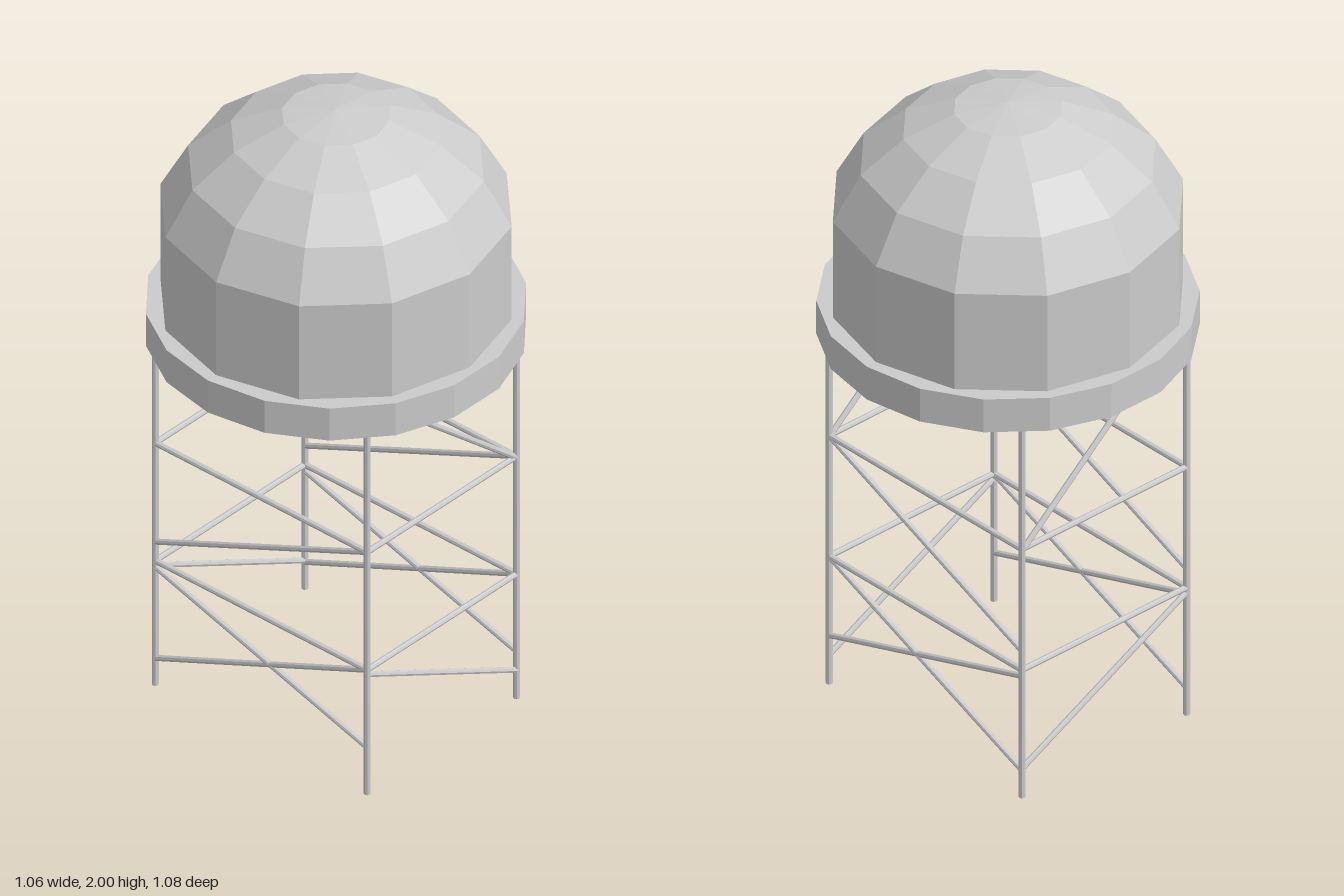
import * as THREE from 'three';

const material = new THREE.MeshStandardMaterial({ color: 0xcccccc, flatShading: true });
const LEG_X = 0.4, LEG_Z = 0.315, DECK_Y = 1.24, DECK_TOP = 1.35;

function lathe(name, profile, sides) {
  const points = profile.map(([r, y]) => new THREE.Vector2(r, y));
  const mesh = new THREE.Mesh(new THREE.LatheGeometry(points, sides), material);
  mesh.name = name;
  return mesh;
}

// Thin round bar between two points
function bar(name, from, to, radius) {
  const a = new THREE.Vector3(...from), b = new THREE.Vector3(...to);
  const dir = b.clone().sub(a);
  const mesh = new THREE.Mesh(new THREE.CylinderGeometry(radius, radius, dir.length(), 8), material);
  mesh.position.copy(a).add(b).multiplyScalar(0.5);
  mesh.quaternion.setFromUnitVectors(new THREE.Vector3(0, 1, 0), dir.normalize());
  mesh.name = name;
  return mesh;
}

export function createModel() {
  const model = new THREE.Group();
  model.name = 'waterTower';

  // Faceted tank: straight wall, domed roof
  model.add(lathe('tank', [
    [0, DECK_TOP], [0.505, DECK_TOP], [0.505, 1.67], [0.425, 1.815],
    [0.302, 1.918], [0.155, 1.982], [0, 2],
  ], 12));

  // Round deck with a hole in the middle
  model.add(lathe('deck', [
    [0.163, DECK_Y], [0.54, DECK_Y], [0.54, DECK_TOP], [0.163, DECK_TOP], [0.163, DECK_Y],
  ], 18));

  const legs = new THREE.Group();
  legs.name = 'legs';
  const braces = new THREE.Group();
  braces.name = 'braces';
  model.add(legs, braces);

  for (const x of [-LEG_X, LEG_X])
    for (const z of [-LEG_Z, LEG_Z])
      legs.add(bar('leg', [x, 0, z], [x, DECK_Y + 0.01, z], 0.01));

  // Front and back: two rails and three diagonals, as heights at -x and +x
  for (const z of [-LEG_Z, LEG_Z])
    for (const [y0, y1] of [[0.425, 0.425], [0.83, 0.83], [0.49, 0.83], [0.405, 0.16], [0.09, 0.425]])
      braces.add(bar(y0 === y1 ? 'rail' : 'diagonalBrace', [-LEG_X, y0, z], [LEG_X, y1, z], 0.009));

  // Both sides: two rails, a low diagonal and one rising into the deck
  for (const x of [-LEG_X, LEG_X]) {
    for (const y of [0.425, 0.83])
      braces.add(bar('rail', [x, y, -LEG_Z], [x, y, LEG_Z], 0.009));
    braces.add(bar('diagonalBrace', [x, 0.095, -LEG_Z], [x, 0.41, LEG_Z], 0.009));
    braces.add(bar('diagonalBrace', [x, 0.825, -LEG_Z], [x, 1.255, 0.195], 0.009));
  }

  return model;
}
